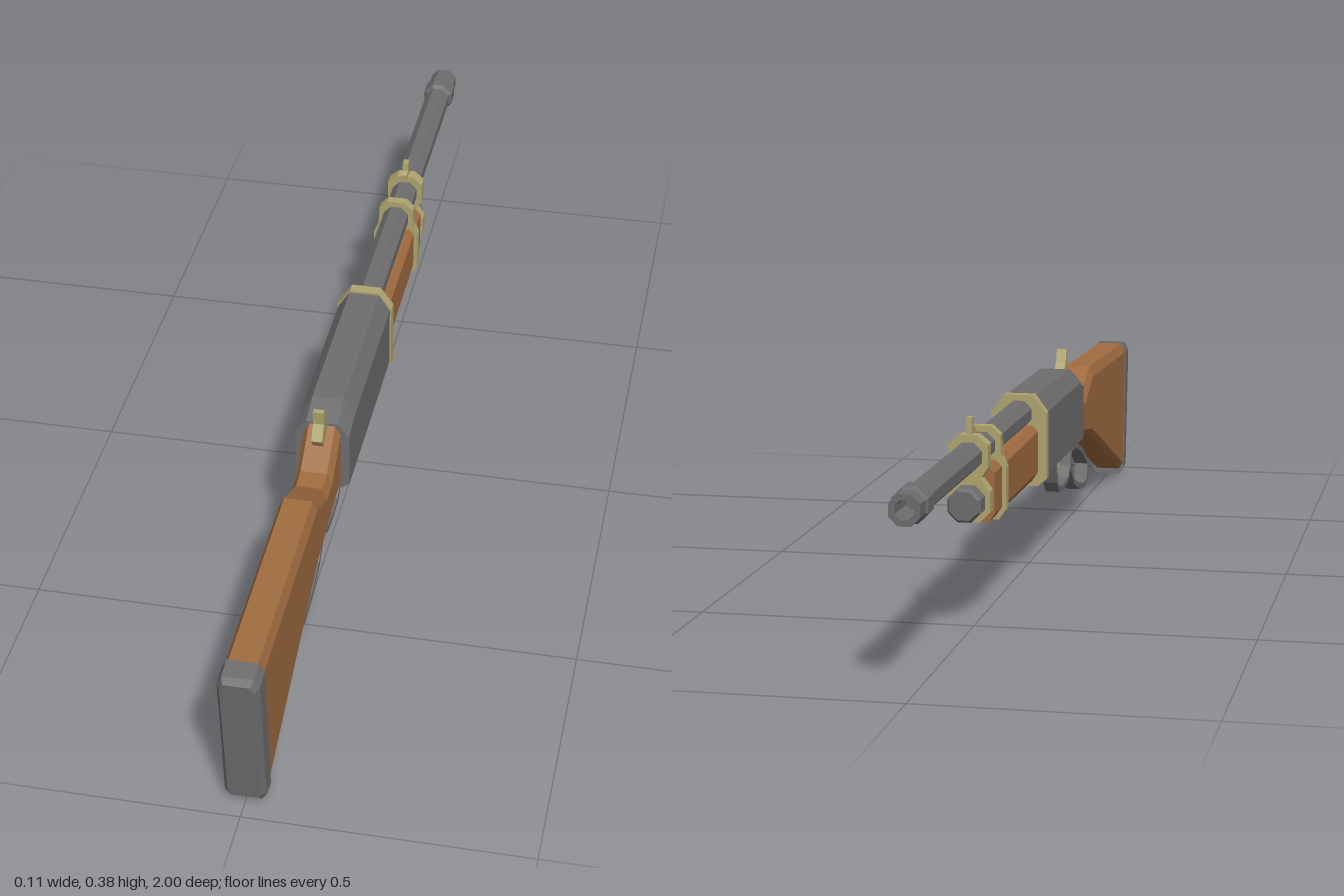
import * as THREE from 'three';

const mat = (color) => new THREE.MeshStandardMaterial({ color, flatShading: true, side: THREE.DoubleSide });

export function createModel() {
  const model = new THREE.Group();
  const steel = mat(0x6e6e6e), wood = mat(0xa06c40), brass = mat(0xb0a570);

  const add = (name, geometry, material) => {
    const mesh = new THREE.Mesh(geometry, material);
    mesh.name = name;
    model.add(mesh);
    return mesh;
  };

  // Chamfered body lofted along z; station: top z, y, bottom z, y, half width, chamfer x, top chamfer y, bottom chamfer y
  const loft = (stations) => {
    const rings = stations.map(([zt, yt, zb, yb, w, cx, ct, cb]) => {
      const section = [[w - cx, yt], [w, yt - ct], [w, yb + cb], [w - cx, yb],
        [cx - w, yb], [-w, yb + cb], [-w, yt - ct], [cx - w, yt]];
      return section.map(([x, y]) => [x, y, zb + (zt - zb) * (y - yb) / (yt - yb)]);
    });
    const pos = [];
    const tri = (a, b, c) => pos.push(...a, ...b, ...c);
    for (let i = 0; i < rings.length - 1; i++) {
      const a = rings[i], b = rings[i + 1];
      for (let j = 0; j < 8; j++) {
        const k = (j + 1) % 8;
        tri(a[j], b[j], b[k]);
        tri(a[j], b[k], a[k]);
      }
    }
    const first = rings[0], last = rings[rings.length - 1];
    for (let j = 1; j < 7; j++) {
      tri(first[0], first[j], first[j + 1]);
      tri(last[0], last[j + 1], last[j]);
    }
    const g = new THREE.BufferGeometry();
    g.setAttribute('position', new THREE.Float32BufferAttribute(pos, 3));
    g.computeVertexNormals();
    return g;
  };

  // Stations run from the butt (+z) towards the muzzle (-z)
  add('stock', loft([
    [0.95, 0.298, 0.928, 0.012, 0.034, 0.009, 0.02, 0.014],
    [0.525, 0.308, 0.52, 0.165, 0.034, 0.009, 0.02, 0.012],
    [0.435, 0.266, 0.435, 0.178, 0.034, 0.01, 0.02, 0.012],
    [0.395, 0.27, 0.395, 0.183, 0.034, 0.01, 0.02, 0.012],
    [0.31, 0.328, 0.31, 0.19, 0.034, 0.01, 0.02, 0.012],
  ]), wood);
  add('buttPad', loft([
    [0.998, 0.29, 0.965, 0.016, 0.029, 0.006, 0.012, 0.01],
    [0.985, 0.297, 0.955, 0.006, 0.036, 0.009, 0.018, 0.014],
    [0.948, 0.301, 0.924, 0.002, 0.036, 0.009, 0.018, 0.014],
  ]), steel);
  add('receiver', loft([
    [0.32, 0.326, 0.32, 0.18, 0.05, 0.021, 0.026, 0.014],
    [0.265, 0.343, 0.265, 0.18, 0.05, 0.021, 0.03, 0.014],
    [-0.09, 0.345, -0.09, 0.18, 0.05, 0.021, 0.032, 0.014],
  ]), steel);
  add('forend', loft([
    [-0.08, 0.292, -0.08, 0.186, 0.037, 0.011, 0.012, 0.016],
    [-0.495, 0.288, -0.495, 0.188, 0.037, 0.011, 0.012, 0.016],
  ]), wood);

  // Eight-sided turned parts; profile: radius, distance forward
  const turned = (profile, y) => new THREE.LatheGeometry(profile.map((p) => new THREE.Vector2(...p)), 8, Math.PI / 8)
    .rotateX(-Math.PI / 2).translate(0, y, 0);
  add('barrel', turned([[0.027, 0.05], [0.026, 0.915], [0.032, 0.922], [0.032, 0.96], [0.028, 0.966],
    [0.028, 1], [0.017, 1], [0.015, 0.93], [0, 0.93]], 0.313), steel);
  add('magazineTube', turned([[0.032, 0.45], [0.032, 0.573], [0.027, 0.58], [0, 0.58]], 0.233), steel);

  // Bands: mirrored half outlines cut across the barrel
  const band = (name, half, z, depth) => {
    const outline = [...half, ...half.map(([x, y]) => [-x, y]).reverse()];
    const shape = new THREE.Shape(outline.map((p) => new THREE.Vector2(...p)));
    add(name, new THREE.ExtrudeGeometry(shape, { depth, bevelEnabled: false }).translate(0, 0, z - depth / 2), brass);
  };
  band('receiverBand', [[0.028, 0.349], [0.053, 0.315], [0.053, 0.189], [0.036, 0.175]], -0.09, 0.022);
  band('barrelBand', [[0.018, 0.348], [0.034, 0.333], [0.036, 0.295], [0.045, 0.275], [0.045, 0.2], [0.032, 0.181]], -0.425, 0.02);
  band('frontSightBand', [[0.016, 0.35], [0.035, 0.334], [0.035, 0.294], [0.022, 0.274], [0.038, 0.252],
    [0.038, 0.215], [0.02, 0.197]], -0.528, 0.026);

  // Side outlines given as z, y and extruded across x
  const vec = (pts) => pts.map((p) => new THREE.Vector2(...p));
  const plate = (name, shape, width, material) => add(name,
    new THREE.ExtrudeGeometry(shape, { depth: width, bevelEnabled: false })
      .translate(0, 0, -width / 2).rotateY(-Math.PI / 2), material);
  plate('frontSight', new THREE.Shape(vec([[-0.508, 0.345], [-0.507, 0.358], [-0.518, 0.363], [-0.519, 0.38],
    [-0.535, 0.38], [-0.536, 0.345]])), 0.011, brass);
  plate('hammer', new THREE.Shape(vec([[0.312, 0.3], [0.312, 0.327], [0.333, 0.347], [0.343, 0.372], [0.352, 0.371],
    [0.35, 0.345], [0.368, 0.318], [0.355, 0.3]])), 0.02, brass);
  plate('trigger', new THREE.Shape(vec([[0.305, 0.185], [0.292, 0.158], [0.272, 0.123], [0.267, 0.128],
    [0.272, 0.155], [0.262, 0.185]])), 0.014, brass);

  // Finger lever: closed loop with a hole, then the trigger guard strip
  const loop = new THREE.Shape(vec([[0.375, 0.163], [0.435, 0.162], [0.52, 0.135], [0.59, 0.094], [0.58, 0.056],
    [0.545, 0.045], [0.48, 0.053], [0.415, 0.076], [0.37, 0.118]]));
  loop.holes.push(new THREE.Path(vec([[0.387, 0.151], [0.432, 0.151], [0.514, 0.125], [0.577, 0.09], [0.57, 0.064],
    [0.543, 0.056], [0.483, 0.064], [0.421, 0.086], [0.382, 0.122]])));
  plate('leverLoop', loop, 0.028, steel);
  plate('triggerGuard', new THREE.Shape(vec([[0.375, 0.163], [0.39, 0.15], [0.378, 0.12], [0.345, 0.095], [0.29, 0.09],
    [0.245, 0.094], [0.217, 0.118], [0.19, 0.185], [0.235, 0.185], [0.222, 0.155], [0.229, 0.12],
    [0.25, 0.104], [0.29, 0.1], [0.342, 0.105], [0.367, 0.126]])), 0.028, steel);

  return model;
}
